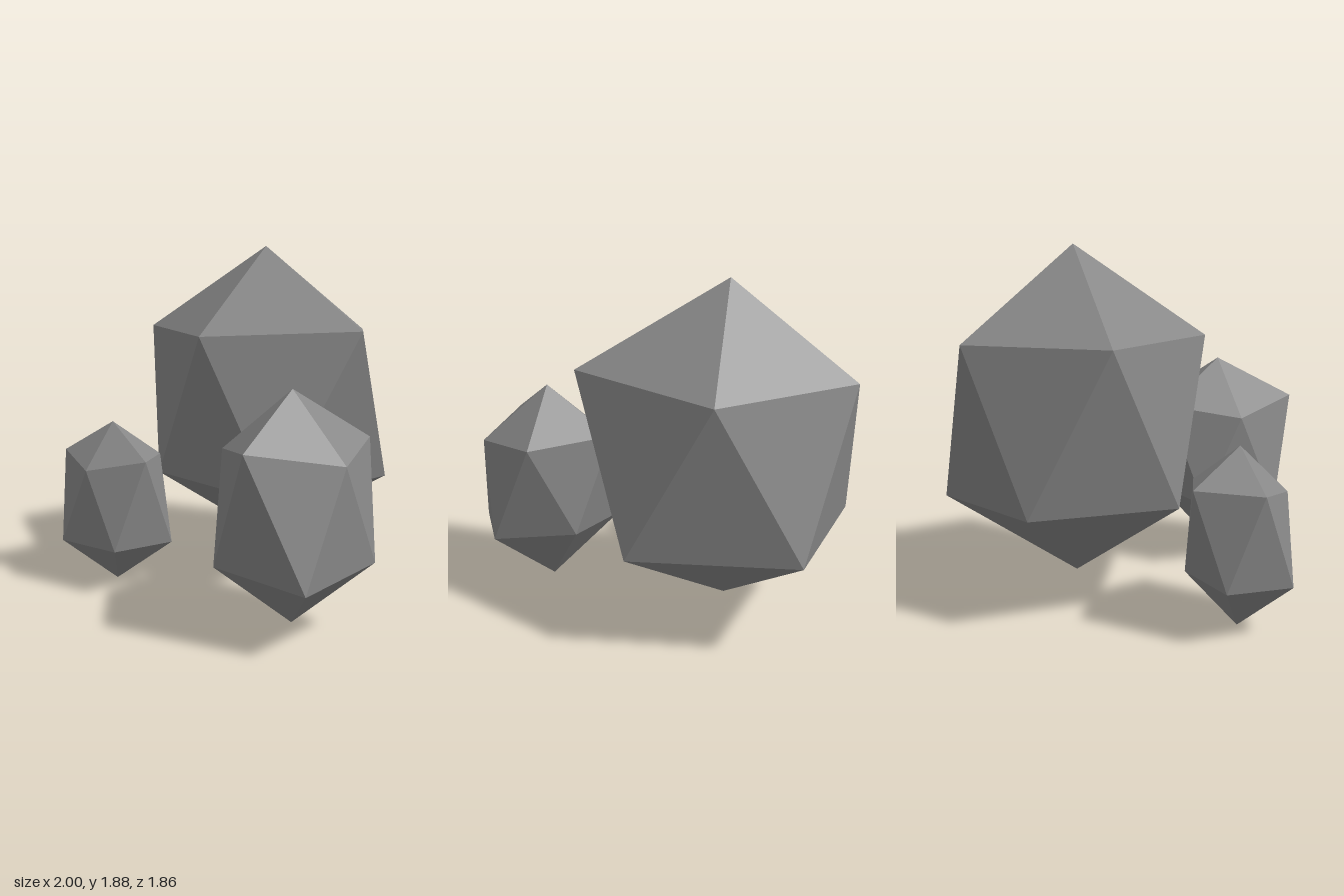
import * as THREE from 'three';

const stone = new THREE.MeshStandardMaterial({ color: 0x888888 });
stone.name = 'grey stone';

// A faceted boulder: two poles and two staggered five-point rings, ordered from +x towards +z.
function boulder(name, x, z, topY, bottomY, upper, lower) {
  const top = [x, topY, z], bottom = [x, bottomY, z];
  const corners = [];
  for (let i = 0; i < 5; i++) {
    const j = (i + 1) % 5;
    corners.push(
      top, upper[j], upper[i],
      upper[i], upper[j], lower[i],
      lower[i], upper[j], lower[j],
      bottom, lower[i], lower[j]
    );
  }
  const geometry = new THREE.BufferGeometry();
  geometry.setAttribute('position', new THREE.Float32BufferAttribute(corners.flat(), 3));
  geometry.computeVertexNormals(); // unshared corners give flat facets
  const mesh = new THREE.Mesh(geometry, stone);
  mesh.name = name;
  return mesh;
}

export function createModel() {
  const group = new THREE.Group();
  group.name = 'rockCluster';

  group.add(
    boulder('largeRock', -0.31, -0.28, 1.89, 0.13,
      [[0.49, 1.445, -0.28], [-0.08, 1.415, 0.375], [-0.92, 1.41, 0.12], [-0.88, 1.41, -0.655], [-0.1, 1.385, -0.885]],
      [[0.29, 0.545, 0.17], [-0.54, 0.585, 0.345], [-1, 0.6, -0.28], [-0.55, 0.565, -0.93], [0.3, 0.56, -0.685]]),

    boulder('mediumRock', 0.61, 0.32, 1.215, 0.025,
      [[0.985, 0.9, 0.32], [0.76, 0.98, 0.745], [0.31, 0.9, 0.52], [0.27, 0.96, 0.09], [0.745, 0.95, -0.08]],
      [[0.995, 0.34, 0.575], [0.47, 0.365, 0.7], [0.21, 0.395, 0.32], [0.49, 0.41, 0], [0.95, 0.38, 0.08]]),

    boulder('smallRock', -0.54, 0.645, 0.925, 0.005,
      [[-0.205, 0.75, 0.645], [-0.455, 0.69, 0.87], [-0.795, 0.745, 0.81], [-0.81, 0.755, 0.47], [-0.45, 0.72, 0.395]],
      [[-0.27, 0.265, 0.815], [-0.64, 0.265, 0.93], [-0.855, 0.28, 0.645], [-0.63, 0.295, 0.395], [-0.25, 0.255, 0.46]])
  );
  return group;
}
